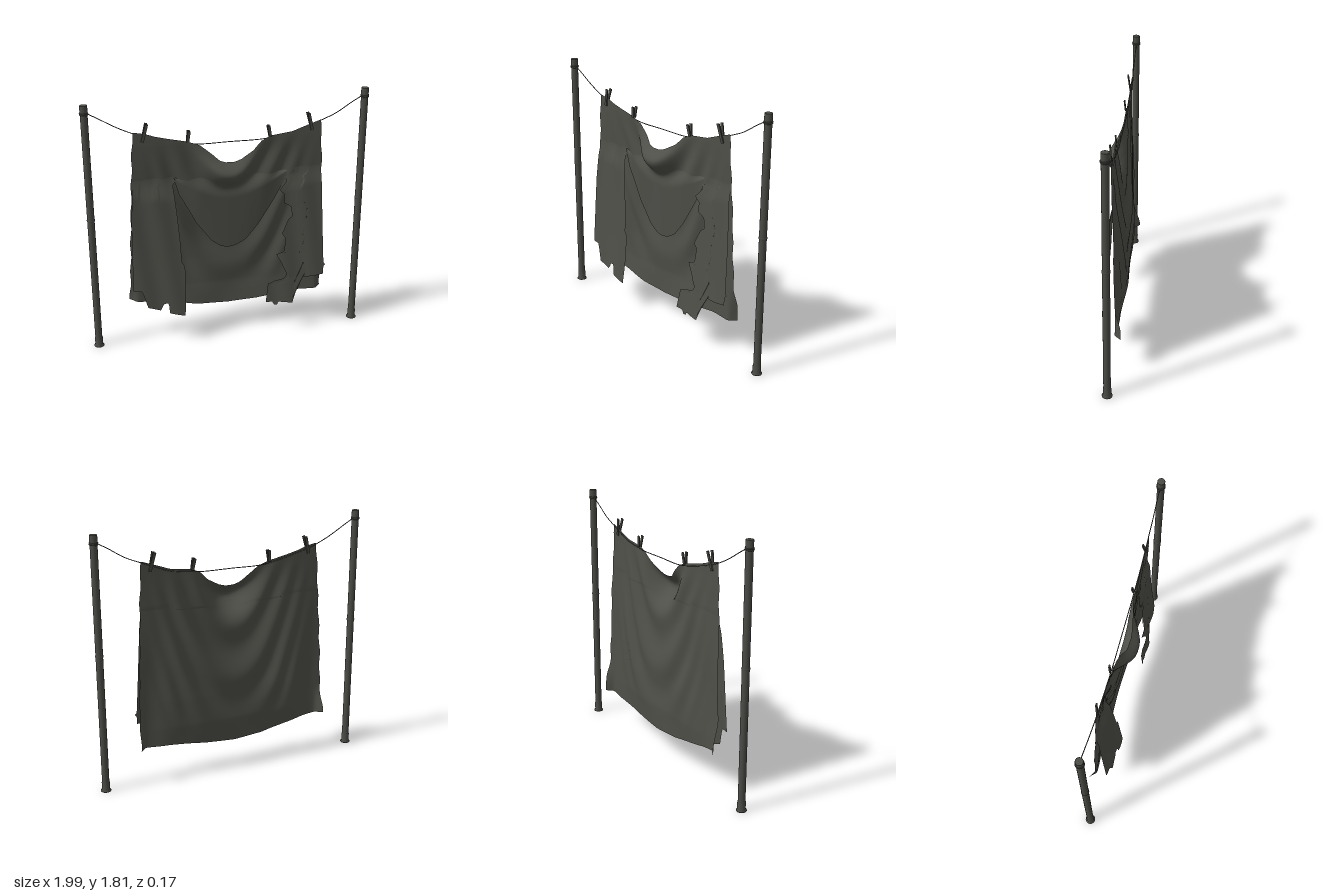
import * as THREE from 'three';

const { lerp, smoothstep } = THREE.MathUtils;

// Reads a value from a short list of [position, value] points
function along(pts, t) {
  if (t <= pts[0][0]) return pts[0][1];
  for (let i = 1; i < pts.length; i++) {
    const [a, va] = pts[i - 1], [b, vb] = pts[i];
    if (t <= b) return lerp(va, vb, (t - a) / (b - a));
  }
  return pts[pts.length - 1][1];
}

// Grid surface from a rule (u across, v downwards)
function sheet(nu, nv, rule) {
  const pos = [], idx = [];
  for (let j = 0; j <= nv; j++)
    for (let i = 0; i <= nu; i++) pos.push(...rule(i / nu, j / nv));
  for (let j = 0; j < nv; j++)
    for (let i = 0; i < nu; i++) {
      const a = j * (nu + 1) + i, b = a + nu + 1;
      idx.push(a, b, a + 1, a + 1, b, b + 1);
    }
  const g = new THREE.BufferGeometry();
  g.setAttribute('position', new THREE.Float32BufferAttribute(pos, 3));
  g.setIndex(idx);
  g.computeVertexNormals();
  return g;
}

const TOP = [[-0.65, 1.6], [-0.57, 1.585], [-0.5, 1.56], [-0.42, 1.54], [-0.28, 1.51], [-0.2, 1.48], [-0.12, 1.415],
  [-0.07, 1.37], [-0.03, 1.357], [0.03, 1.355], [0.08, 1.37], [0.17, 1.42], [0.23, 1.48], [0.29, 1.51], [0.45, 1.53], [0.56, 1.57], [0.65, 1.6]];
const BOTTOM = [[-0.65, 0.315], [-0.5, 0.3], [-0.37, 0.275], [-0.2, 0.235], [0, 0.222], [0.2, 0.235], [0.3, 0.25], [0.45, 0.27], [0.65, 0.275]];
const BELLY = [[0.22, -0.05], [0.4, -0.063], [0.6, -0.06], [1.0, -0.04], [1.25, -0.026], [1.5, -0.012]];
const COWL_HEM = [[-0.38, 1.24], [-0.35, 1.13], [-0.28, 1.0], [-0.23, 0.9], [-0.12, 0.75], [-0.05, 0.7], [0, 0.69],
  [0.06, 0.7], [0.13, 0.74], [0.22, 0.85], [0.33, 1.03], [0.42, 1.2]];

// Depth of the hanging cloth: belly at the back, U-shaped folds, forward cowl, curled corners
function depth(x, y) {
  const mid = Math.exp(-Math.pow(x / 0.6, 4));
  const low = 1 - smoothstep(y, 0.8, 1.45);
  let z = lerp(-0.012 - 0.012 * low, along(BELLY, y), mid);
  const c = y - 3.6 * x * x;
  const folds = Math.exp(-Math.pow(x / 0.45, 4)) * smoothstep(y, 0.3, 0.75) * (1 - smoothstep(y, 1.3, 1.55));
  z += 0.016 * Math.sin(c * 14 + 1.2) * folds;
  z += 0.007 * Math.sin(x * 21 + y * 2.5) * (1 - mid) * low;
  z += 0.005 * Math.sin(x * 11 - y * 7) * low;
  z -= 0.05 * smoothstep(Math.abs(x), 0.66, 0.72) * (1 - smoothstep(y, 0.3, 0.55));
  const dy = y - (1.265 + 2.6 * x * x);
  z += 0.118 * Math.exp(-Math.pow(Math.abs(x) / 0.18, 2.6)) * Math.exp(-Math.pow(dy / (dy > 0 ? 0.085 : 0.115), 2));
  return z;
}

export function createModel() {
  const root = new THREE.Group();
  const cloth = new THREE.MeshStandardMaterial({ color: 0x50504a, side: THREE.DoubleSide });
  cloth.name = 'dark grey cloth';
  const metal = new THREE.MeshStandardMaterial({ color: 0x4b4c46 });
  metal.name = 'dark grey post';

  function add(name, geo, mat, x = 0, y = 0, z = 0, parent = root) {
    const m = new THREE.Mesh(geo, mat);
    m.name = name;
    m.position.set(x, y, z);
    parent.add(m);
    return m;
  }

  // Large draped sheet
  add('drapedSheet', sheet(96, 84, (u, v) => {
    const x0 = (2 * u - 1) * 0.65;
    const y = lerp(along(TOP, x0), along(BOTTOM, x0), v);
    const edge = Math.pow(Math.abs(2 * u - 1), 12);
    const x = x0 * (1 + 0.1 * Math.pow(v, 0.8)) + edge * 0.004 * Math.sin(v * 37);
    return [x, y, depth(x, y)];
  }), cloth);

  // Front drape below the cowl, ending in a U-shaped hem
  add('frontDrape', sheet(48, 40, (u, v) => {
    const x = lerp(-0.38, 0.42, u);
    const y = lerp(1.25, along(COWL_HEM, x), v);
    const d = depth(x, y);
    const side = smoothstep(Math.min(u, 1 - u), 0, 0.25);
    const front = Math.max(d + 0.006, lerp(-0.02, lerp(0.012, -0.022, v), side));
    return [x, y, lerp(d - 0.002, front, smoothstep(v, 0, 0.3))];
  }), cloth);

  // Torn front flaps: inner and outer edges by height, hem by position across
  const flaps = [
    { name: 'rightFlap', top: 1.29,
      outer: [[0.3, -0.66], [0.45, -0.7], [0.96, -0.688], [1.3, -0.662]],
      inner: [[0.215, -0.335], [0.4, -0.325], [0.6, -0.325], [0.62, -0.345], [0.82, -0.355], [1.0, -0.37], [1.2, -0.39], [1.22, -0.37], [1.29, -0.37]],
      hem: [[0, 0.44], [0.16, 0.44], [0.18, 0.31], [0.45, 0.275], [0.53, 0.32], [0.63, 0.33], [0.645, 0.25], [1, 0.215]] },
    { name: 'leftFlap', top: 1.3,
      outer: [[0.3, 0.695], [0.49, 0.7], [0.5, 0.715], [0.52, 0.7], [0.88, 0.685], [1.3, 0.665]],
      inner: [[0.25, 0.26], [0.4, 0.28], [0.43, 0.4], [0.46, 0.42], [0.5, 0.4], [0.55, 0.38], [0.62, 0.34], [0.64, 0.4], [0.75, 0.41],
        [0.77, 0.38], [0.88, 0.43], [0.9, 0.46], [0.98, 0.45], [1.0, 0.4], [1.08, 0.4], [1.1, 0.36], [1.17, 0.42], [1.2, 0.4], [1.22, 0.48], [1.29, 0.46]],
      hem: [[0, 0.43], [0.5, 0.42], [0.52, 0.23], [0.78, 0.245], [0.8, 0.22], [0.85, 0.225], [0.88, 0.25], [1, 0.255]] },
  ];
  for (const f of flaps) {
    add(f.name, sheet(60, 60, (u, v) => {
      const y = lerp(f.top, along(f.hem, u), v);
      const x = lerp(along(f.outer, y), along(f.inner, y), u);
      const hang = 0.076 * Math.pow((1.5 - y) / 1.28, 1.7) - 0.004 + 0.005 * Math.sin(x * 30 + y * 4);
      const d = depth(x, y);
      return [x, y, lerp(d - 0.002, Math.max(d + 0.008, hang), smoothstep(v, 0, 0.2))];
    }), cloth);
  }

  // Clothes line, tucked behind the top edge of the cloth
  const pts = [[-0.94, 1.75], [-0.87, 1.71], [-0.76, 1.645], [-0.65, 1.593], [-0.5, 1.545], [-0.28, 1.495], [-0.19, 1.485], [0, 1.487],
    [0.22, 1.488], [0.3, 1.496], [0.45, 1.518], [0.56, 1.557], [0.65, 1.593], [0.76, 1.64], [0.87, 1.71], [0.94, 1.75]];
  const curve = new THREE.CatmullRomCurve3(pts.map(p => new THREE.Vector3(p[0], p[1], -0.016)));
  add('clothesLine', new THREE.TubeGeometry(curve, 90, 0.003, 6), metal);

  // Posts with foot, sleeve, joint, cap and tied loop
  const profile = [[0, 0], [0.036, 0], [0.036, 0.005], [0.028, 0.008], [0.028, 0.066], [0.025, 0.072], [0.025, 0.985],
    [0.028, 0.988], [0.028, 0.998], [0.025, 1.0], [0.025, 1.74], [0.026, 1.745], [0.026, 1.806], [0.024, 1.808], [0, 1.808]]
    .map(p => new THREE.Vector2(p[0], p[1]));
  for (const s of [-1, 1]) {
    const post = new THREE.Group();
    post.name = s > 0 ? 'leftPost' : 'rightPost';
    post.position.set(s * 0.96, 0, -0.014);
    root.add(post);
    add('pole', new THREE.LatheGeometry(profile, 20), metal, 0, 0, 0, post);
    for (const y of [1.745, 1.754])
      add('ropeLoop', new THREE.TorusGeometry(0.027, 0.004, 6, 20), metal, 0, y, 0, post).rotation.x = Math.PI / 2;
  }

  // Pegs: two prongs pinching the line
  const pegs = [[-0.573, 1.592, -0.25, 0.13], [-0.278, 1.545, -0.12, 0.08], [0.285, 1.545, 0.18, 0.08], [0.575, 1.592, 0.25, 0.13]];
  for (const [x, y, tilt, len] of pegs) {
    const peg = new THREE.Group();
    peg.name = 'peg';
    peg.position.set(x, y, -0.012);
    peg.rotation.z = tilt;
    root.add(peg);
    for (const s of [-1, 1])
      add('prong', new THREE.BoxGeometry(0.02, len, 0.009), metal, 0, 0, s * 0.011, peg).rotation.x = s * 0.1;
  }
  return root;
}
